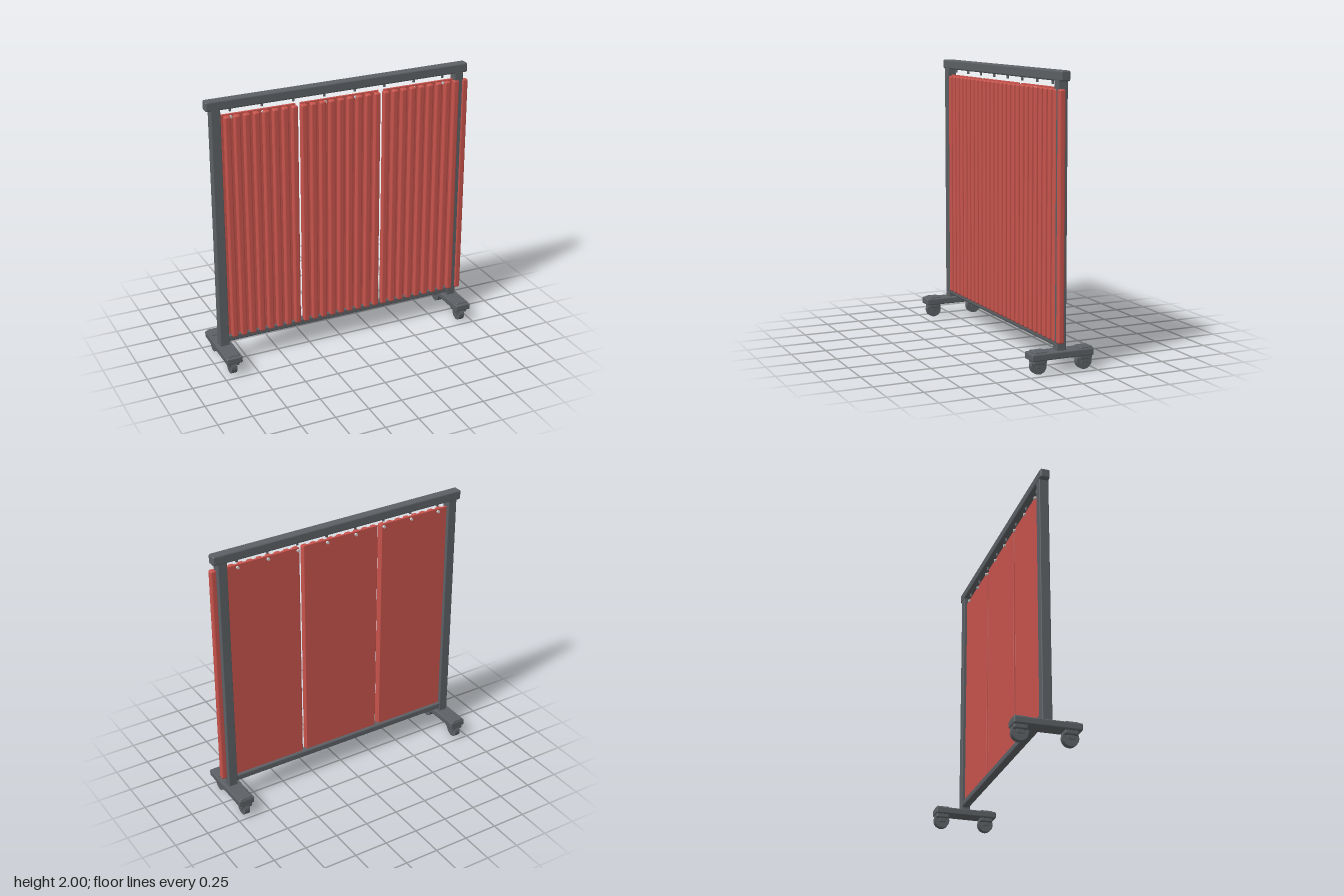
import * as THREE from 'three';
import { RoundedBoxGeometry } from 'three/addons/geometries/RoundedBoxGeometry.js';

const steel = new THREE.MeshStandardMaterial({ color: 0x5c6064 });
const red = new THREE.MeshStandardMaterial({ color: 0xc8534c });
const grey = new THREE.MeshStandardMaterial({ color: 0xcccccc });

// Rounded box given by its extents on each axis
function block(name, material, [x0, x1], [y0, y1], [z0, z1], radius = 0.008) {
  const geometry = new RoundedBoxGeometry(x1 - x0, y1 - y0, z1 - z0, 2, radius);
  const mesh = new THREE.Mesh(geometry, material);
  mesh.position.set((x0 + x1) / 2, (y0 + y1) / 2, (z0 + z1) / 2);
  mesh.name = name;
  return mesh;
}

function rod(name, material, radius, length, x, y, z, axis) {
  const geometry = new THREE.CylinderGeometry(radius, radius, length, 24);
  if (axis === 'x') geometry.rotateZ(Math.PI / 2);
  if (axis === 'z') geometry.rotateX(Math.PI / 2);
  const mesh = new THREE.Mesh(geometry, material);
  mesh.position.set(x, y, z);
  mesh.name = name;
  return mesh;
}

// Wheel, axle, fork and mounting plates, centred on the foot
function createCaster(z) {
  const caster = new THREE.Group();
  caster.name = 'caster';
  caster.add(
    block('topPlate', steel, [-0.045, 0.045], [0.14, 0.16], [-0.047, 0.047]),
    block('mount', steel, [-0.044, 0.044], [0.072, 0.105], [-0.047, 0.047]),
    rod('wheel', steel, 0.056, 0.04, 0, 0.056, 0, 'x'),
    rod('axle', steel, 0.012, 0.05, 0, 0.056, 0, 'x')
  );
  for (const s of [-1, 1]) {
    const x = s * 0.025;
    caster.add(block('forkSide', steel, [x - 0.005, x + 0.005], [0.045, 0.08], [-0.025, 0.025], 0.003));
  }
  caster.position.z = z;
  return caster;
}

function createFoot(x) {
  const foot = new THREE.Group();
  foot.name = 'foot';
  foot.add(block('footBar', steel, [-0.06, 0.06], [0.1, 0.15], [-0.23, 0.23], 0.01));
  for (const z of [0.16, -0.178]) foot.add(createCaster(z));
  foot.position.x = x;
  return foot;
}

export function createModel() {
  const model = new THREE.Group();
  model.name = 'rollingScreen';

  // Frame
  model.add(
    block('topRail', steel, [-0.99, 0.99], [1.93, 2], [-0.035, 0.035], 0.012),
    block('bottomRail', steel, [-0.9, 0.9], [0.17, 0.22], [-0.028, 0.028], 0.012)
  );
  for (const s of [-1, 1]) {
    const x = s * 0.922;
    model.add(block('post', steel, [x - 0.034, x + 0.034], [0.14, 1.94], [-0.033, 0.035], 0.006));
    model.add(createFoot(x));
  }

  // Three backing sheets
  for (const [x0, x1] of [[-0.9, -0.336], [-0.302, 0.296], [0.336, 0.9]]) {
    model.add(block('backingSheet', red, [x0, x1], [0.2, 1.888], [-0.008, 0.008], 0.004));
  }

  // Evenly spaced upright slats
  for (let i = 0; i < 27; i++) {
    const x = -0.841 + i * 0.0697;
    model.add(block('slat', red, [x - 0.0225, x + 0.0225], [0.203, 1.88], [0, 0.044], 0.012));
  }

  // Hangers under the rail and pins through the sheets
  for (let i = 0; i < 8; i++) {
    const x = -0.81 + i * 0.2305;
    model.add(
      rod('hanger', steel, 0.009, 0.04, x, 1.925, 0, 'y'),
      rod('pin', grey, 0.01, 0.045, x, 1.868, 0, 'z')
    );
  }
  return model;
}
